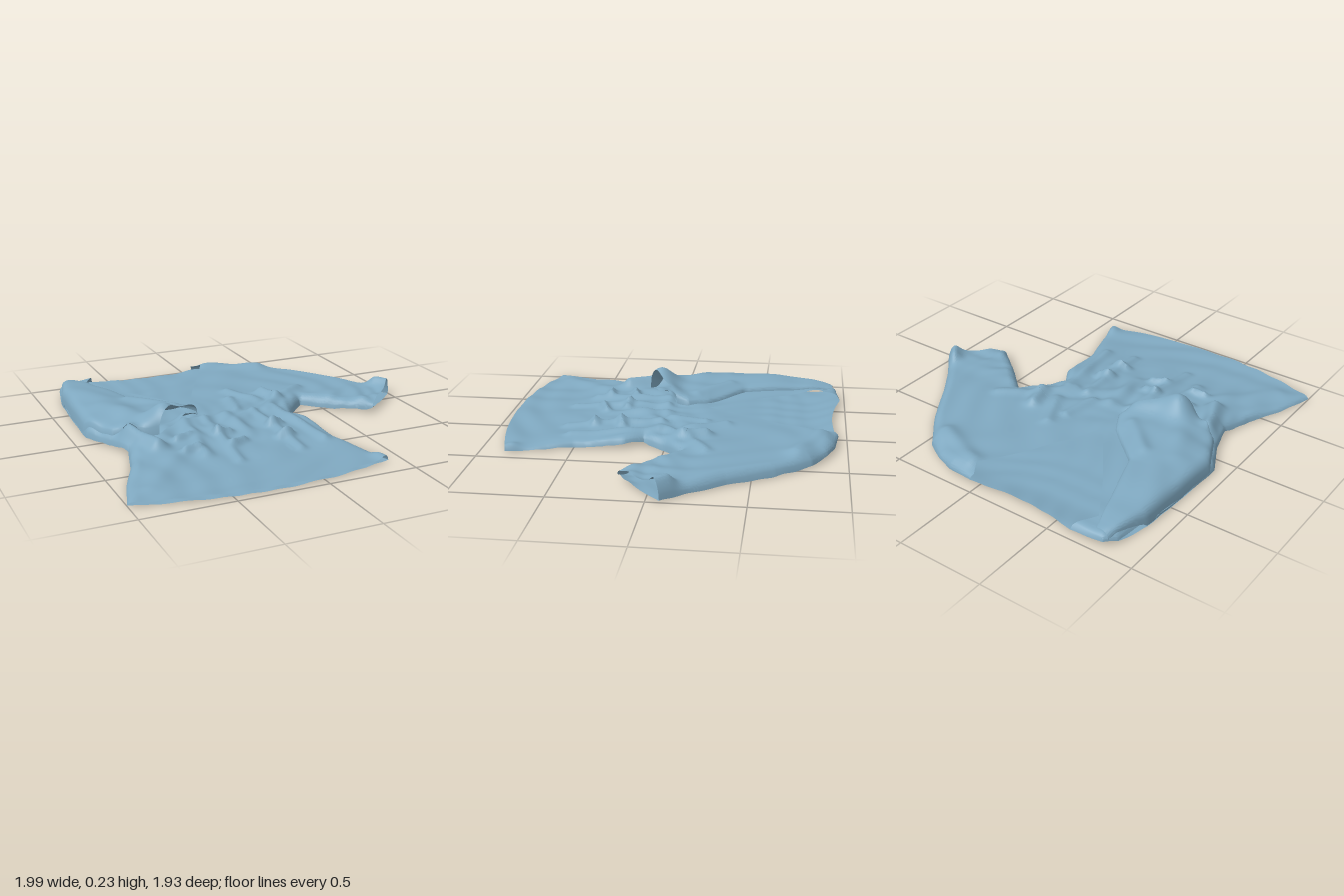
import * as THREE from 'three';
import { toCreasedNormals } from 'three/addons/utils/BufferGeometryUtils.js';

const { lerp, smoothstep, clamp } = THREE.MathUtils;
const cloth = new THREE.MeshStandardMaterial({ color: 0x7fa8c0, side: THREE.DoubleSide });

// Pattern pieces as rows between two edges: x1, z1, x2, z2, bow of the row
const sleeve = [[0.4, -0.1, 0.75, -0.38], [0.55, 0.04, 0.88, -0.2], [0.73, 0.18, 0.99, -0.07]];
const skirt = [
  [-0.92, -0.1, 0.3, 0], [-0.83, 0.08, 0.23, 0.12], [-0.79, 0.24, 0.29, 0.22],
  [-0.84, 0.42, 0.31, 0.5, 0.02], [-0.93, 0.62, 0.37, 0.68, 0.06], [-1, 0.84, 0.42, 0.86, 0.11],
];
const yoke = [
  [-0.62, -0.97, 0.04, -0.95, 0.04], [-0.8, -0.95, 0.2, -0.93, 0.05], [-0.85, -0.89, 0.31, -0.89, 0.02],
  [-0.89, -0.7, 0.44, -0.81], [-0.91, -0.4, 0.6, -0.62], [-0.915, -0.29, 0.4, -0.1],
];
const chest = [
  [0.03, -0.93, 0.04, -0.95], [0.07, -0.86, 0.2, -0.93], [-0.02, -0.69, 0.31, -0.89], [-0.16, -0.43, 0.44, -0.81],
  [-0.27, -0.197, 0.6, -0.62], [0.07, -0.148, 0.69, -0.48], ...sleeve,
];
const rightChest = [[-0.8, -0.95, -0.62, -0.97], [-0.85, -0.89, -0.7, -0.84], [-0.9, -0.6, -0.54, -0.58], [-0.915, -0.29, -0.27, -0.197]];
const folded = [
  [-0.82, -0.93, -0.74, -0.92], [-0.89, -0.7, -0.67, -0.7], [-0.91, -0.4, -0.57, -0.39],
  [-0.92, -0.15, -0.34, -0.18], [-0.82, 0.06, -0.28, -0.07], [-0.6, 0.2, -0.3, 0],
];

// Closed seams follow the outer edges of the pieces
const startEdge = (rows) => rows.map((r) => r.slice(0, 2));
const endEdge = (rows) => rows.map((r) => r.slice(2, 4));
const seams = [
  endEdge(chest),
  [...startEdge(sleeve).reverse(), ...endEdge(skirt)],
  startEdge([...yoke, ...skirt]),
];

// Folds as ridges: x1, z1, x2, z2, width, height
const folds = [
  [-0.02, -0.2, -0.06, 0, 0.03, 0.02], [0.02, -0.32, 0.12, -0.1, 0.035, 0.02],
  [0.2, -0.22, 0.23, -0.1, 0.04, 0.04], [0.24, -0.1, 0.1, 0.05, 0.035, 0.02],
  [0.44, -0.24, 0.28, -0.14, 0.035, 0.02], [0.92, -0.1, 0.96, -0.05, 0.05, 0.05],
  [0.1, -0.85, 0.4, -0.72, 0.05, 0.02], [0.4, 0.83, 0.42, 0.86, 0.05, 0.03],
  [-0.74, 0.12, -0.66, 0.34, 0.05, 0.055], [-0.6, 0.45, -0.85, 0.75, 0.06, 0.015],
];
// Gathers of uneven length fan out from the waist toward the hem
for (let i = 0; i < 5; i++) {
  const x = -0.4 + 0.135 * i + 0.02 * Math.sin(i * 5);
  folds.push([x, 0.05, x * 1.2 + 0.03, 0.5 + 0.15 * Math.sin(i * 2.3), 0.035 + 0.01 * Math.sin(i * 4), 0.02]);
}
// Small bunched knots in two uneven rows
for (const x of [-0.5, -0.25, 0.04])
  for (const z of [0.27, 0.42]) {
    const lean = 0.02 * Math.sin(x * 30 + z * 20);
    folds.push([x - 0.035 + lean, z + 0.015, x + 0.035 + lean, z - lean, 0.024, 0.033]);
  }

const sleeveFolds = [
  [-0.6, 0.2, -0.56, 0.14, 0.1, 0.07], [-0.6, 0.2, -0.3, 0, 0.08, 0.04],
  [-0.6, 0.1, -0.78, -0.25, 0.07, 0.02], [-0.4, -0.12, -0.6, -0.3, 0.04, 0.02],
];

function segmentDistance(x, z, x1, z1, x2, z2) {
  const dx = x2 - x1, dz = z2 - z1;
  const t = clamp(((x - x1) * dx + (z - z1) * dz) / (dx * dx + dz * dz), 0, 1);
  return Math.hypot(x - x1 - t * dx, z - z1 - t * dz);
}

function foldHeight(list, x, z) {
  return list.reduce((sum, [x1, z1, x2, z2, w, h]) => sum + h * Math.exp(-((segmentDistance(x, z, x1, z1, x2, z2) / w) ** 2)), 0);
}

function seamDistance(x, z) {
  let d = 1;
  for (const line of seams)
    for (let i = 1; i < line.length; i++) d = Math.min(d, segmentDistance(x, z, ...line[i - 1], ...line[i]));
  return d;
}

const ripple = (x, z) => Math.sin(x * 17 + z * 9 + 2 * Math.sin(z * 7)) * Math.sin(z * 13 - x * 8 + 2 * Math.sin(x * 5));
const nearRow = (z, center, width) => Math.exp(-(((z - center) / width) ** 2));

// Heights of the cloth layers above the floor; the back is bunched up at the waist
const backY = (x, z) => 0.012 + 0.004 * ripple(x * 1.4, z * 1.4) + 0.025 * nearRow(z, -0.97, 0.12)
  + nearRow(z, 0.2, 0.11) * (0.022 + 0.012 * ripple(x * 3, z * 2.5));

function frontY(x, z) {
  const low = backY(x, z);
  const top = lerp(0.078, 0.03, smoothstep(z, 0.05, 0.9)) + 0.006 * ripple(x, z)
    + 0.007 * nearRow(z, 0.15, 0.25) * ripple(x * 2.2, z * 1.6) + foldHeight(folds, x, z);
  const t = 1 - Math.min(seamDistance(x, z) / 0.06, 1);
  return low + (top - low) * Math.sqrt(1 - t * t);
}

// The folded sleeve lifts off the chest toward its cuff
const underY = (x, z) => frontY(x, z) + 0.004 + 0.025 * foldHeight([[-0.52, 0.14, -0.36, 0.04, 0.07, 1]], x, z);

function overY(x, z, u) {
  const low = underY(x, z);
  const top = 0.1 + 0.035 * smoothstep(z, -0.95, -0.5) + 0.006 * ripple(x, z) + foldHeight(sleeveFolds, x, z);
  const end = Math.sqrt(clamp((z + 0.935) / 0.07, 0, 1));
  return low + Math.max(0.01, top - low) * end * Math.max(0, Math.sin(Math.PI * u)) ** 0.35;
}

// Sheet lofted through the rows of a piece
function sheet(name, rows, height, across, perRow) {
  const pos = [], index = [], n = (rows.length - 1) * perRow;
  for (let j = 0; j <= n; j++) {
    const k = Math.min(Math.floor(j / perRow), rows.length - 2), f = j / perRow - k;
    const mix = (i) => lerp(rows[k][i] ?? 0, rows[k + 1][i] ?? 0, f);
    for (let i = 0; i <= across; i++) {
      const s = i / across, u = lerp(s, smoothstep(s, 0, 1), 0.5);
      const x = lerp(mix(0), mix(2), u);
      const z = lerp(mix(1), mix(3), u) + mix(4) * 4 * u * (1 - u);
      pos.push(x, Math.max(0, height(x, z, u)), z);
      if (i < across && j < n) {
        const a = j * (across + 1) + i, b = a + across + 1;
        index.push(a, b, a + 1, a + 1, b, b + 1);
      }
    }
  }
  const g = new THREE.BufferGeometry();
  g.setAttribute('position', new THREE.Float32BufferAttribute(pos, 3));
  g.setIndex(index);
  const mesh = new THREE.Mesh(toCreasedNormals(g, 0.8), cloth);
  mesh.name = name;
  return mesh;
}

export function createModel() {
  const group = new THREE.Group();
  group.name = 'blouse';
  const waistLine = yoke[yoke.length - 1];

  // Back layer
  group.add(sheet('backPanel', [...yoke, ...skirt], backY, 60, 9));
  group.add(sheet('sleeveBack', [[0.4, -0.1, 0.6, -0.62], ...sleeve], backY, 30, 8));

  // Front layer around the open V neck
  group.add(sheet('frontPanel', [waistLine, ...skirt], frontY, 100, 16));
  group.add(sheet('leftChestAndSleeve', chest, frontY, 70, 24));
  group.add(sheet('rightChest', rightChest, frontY, 40, 12));

  // Right sleeve folded across the chest, open at the cuff
  group.add(sheet('foldedSleeveUnder', folded, underY, 40, 10));
  group.add(sheet('foldedSleeveOver', folded, overY, 50, 14));
  return group;
}
